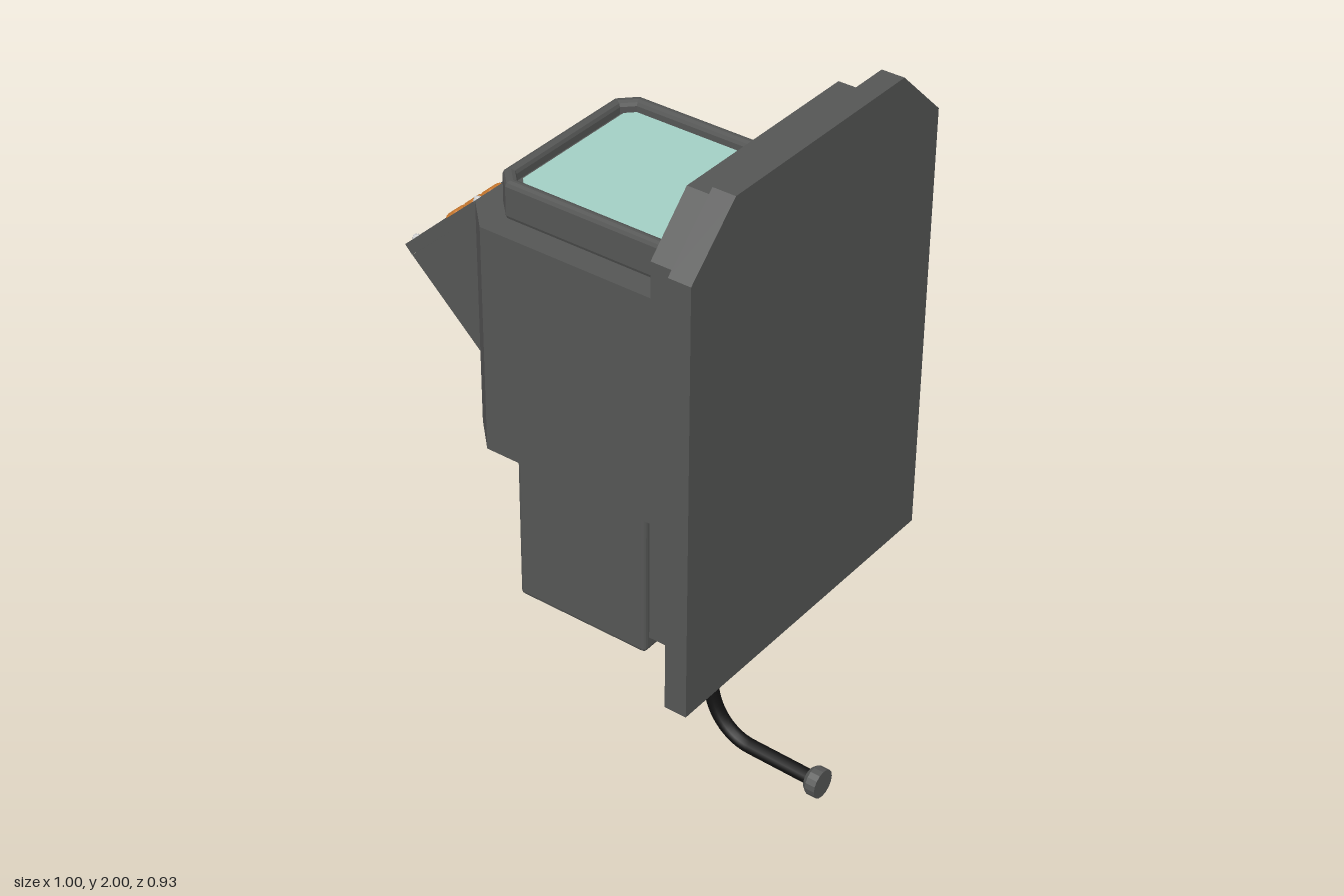
import * as THREE from 'three';
import { RoundedBoxGeometry } from 'three/addons/geometries/RoundedBoxGeometry.js';

const mat = (color) => new THREE.MeshStandardMaterial({ color, flatShading: true });

export function createModel() {
  const model = new THREE.Group();
  const body = mat(0x555655), teal = mat(0xa3cfc5), orange = mat(0xc8782e);
  const metal = mat(0xcccccc), rubber = new THREE.MeshStandardMaterial({ color: 0x111111 });

  const add = (name, geo, material, pos = [0, 0, 0], parent = model) => {
    const m = new THREE.Mesh(geo, material);
    m.name = name;
    m.position.set(...pos);
    parent.add(m);
    return m;
  };
  const poly = (pts) => new THREE.Shape(pts.map((p) => new THREE.Vector2(...p)));
  const extrude = (shape, depth, bevel = 0) => new THREE.ExtrudeGeometry(shape, {
    depth, bevelEnabled: bevel > 0, bevelSize: bevel, bevelThickness: bevel,
    bevelOffset: -bevel, bevelSegments: 2, curveSegments: 4,
  });
  const box = (w, h, d, r = 0) => (r ? new RoundedBoxGeometry(w, h, d, 2, r) : new THREE.BoxGeometry(w, h, d));
  // Octagonal washer with a hex head; its axis is local y
  const bolt = (pos, parent = model, size = 1) => {
    const g = new THREE.Group();
    g.name = 'bolt';
    g.position.set(...pos);
    g.scale.setScalar(size);
    add('boltWasher', new THREE.CylinderGeometry(0.018, 0.022, 0.01, 8), metal, [0, 0.004, 0], g);
    add('boltHead', new THREE.CylinderGeometry(0.01, 0.011, 0.008, 6), metal, [0, 0.012, 0], g);
    parent.add(g);
    return g;
  };

  // Mounting plates with chamfered top corners, stacked along x
  const plate = (name, x, depth, w, wTop, y0, yc, y1) => {
    const s = poly([[-w, y0], [w, y0], [w, yc], [wTop, y1], [-wTop, y1], [-w, yc]]);
    add(name, extrude(s, depth).rotateY(Math.PI / 2), body, [x, 0, 0]);
  };
  plate('backPlate', 0.44, 0.06, 0.465, 0.313, 0.695, 1.855, 2);
  plate('innerPlate', 0.35, 0.09, 0.405, 0.28, 0.815, 1.83, 1.955);

  // Light strips around the inner plate
  const strip = (len, y, z, turn) => {
    add('lightStrip', box(0.012, 0.025, len), teal, [0.348, y, z]).rotation.x = turn;
  };
  strip(0.5, 1.905, 0, 0);
  strip(0.62, 0.865, 0, 0);
  for (const s of [-1, 1]) {
    strip(0.8, 1.34, s * 0.36, Math.PI / 2);
    strip(0.1, 1.845, s * 0.322, s * Math.PI / 4);
  }

  // Main housing
  const housing = poly([[0.35, -0.31], [0.35, 0.31], [-0.2, 0.31], [-0.28, 0.23], [-0.28, -0.23], [-0.2, -0.31]]);
  add('mainHousing', extrude(housing, 0.61).rotateX(-Math.PI / 2), body, [0, 1.05, 0]);

  // Top screen and its bevelled bezel
  const clipped = (x0, x1, z, c) => [[x1, -z], [x1, z], [x0 + c, z], [x0, z - c], [x0, -z + c], [x0 + c, -z]];
  const bezel = poly(clipped(-0.218, 0.288, 0.247, 0.042));
  bezel.holes.push(poly(clipped(-0.19, 0.26, 0.217, 0.028)));
  add('screenBezel', extrude(bezel, 0.075, 0.012).rotateX(-Math.PI / 2), body, [0, 1.668, 0]);
  add('screen', extrude(poly(clipped(-0.176, 0.248, 0.206, 0.022)), 0.075).rotateX(-Math.PI / 2), teal, [0, 1.66, 0]);
  add('screenBase', extrude(poly(clipped(-0.2, 0.27, 0.23, 0.03)), 0.065).rotateX(-Math.PI / 2), body, [0, 1.66, 0]);

  // Slanted keypad: local x runs up the slope, local y is its normal
  const keypad = new THREE.Group();
  keypad.name = 'keypad';
  keypad.position.set(-0.5, 1.46, 0);
  keypad.rotation.z = 0.738;
  model.add(keypad);
  const frame = poly([[0, -0.23], [0.29, -0.23], [0.29, 0.23], [0, 0.23]]);
  const [l, r, h, c] = [0.03, 0.27, 0.2, 0.03];
  frame.holes.push(poly([[l + c, -h], [r - c, -h], [r, -h + c], [r, h - c], [r - c, h], [l + c, h], [l, h - c], [l, -h + c]]));
  add('keypadFrame', extrude(frame, 0.03).rotateX(-Math.PI / 2), body, [0, -0.03, 0], keypad);
  const wedge = poly([[-0.479, 1.438], [-0.28, 1.25], [-0.26, 1.25], [-0.26, 1.638]]);
  add('keypadWedge', extrude(wedge, 0.46), body, [0, 0, -0.23]);
  for (let i = 0; i < 3; i++) {
    const x = 0.087 + i * 0.073;
    for (let j = 0; j < 3; j++) {
      add('key', box(0.067, 0.022, 0.072), teal, [x, -0.02, -0.125 + j * 0.081], keypad);
    }
    add('orangeKey', box(0.05, 0.04, 0.05, 0.012), orange, [x, -0.014, 0.118], keypad);
  }
  for (const x of [0.018, 0.277]) for (const z of [-0.21, 0.205]) bolt([x, 0, z], keypad, 0.5);

  // Bolts on the top and on the rear side of the housing
  for (const x of [-0.16, -0.09]) bolt([x, 1.66, -0.28]);
  const rearBolts = [[-0.16, 1.1, -0.31], [-0.09, 1.1, -0.31], [0.315, 1.08, -0.31], [0.315, 1.21, -0.31],
    [-0.175, 0.965, -0.205], [-0.175, 0.905, -0.205]];
  for (const p of rearBolts) bolt(p, model, 0.85).rotation.x = -Math.PI / 2;

  // Lower box, overlapping slightly into the housing
  add('lowerBox', box(0.385, 0.52, 0.41, 0.012), body, [-0.0075, 0.81, 0]);

  // Raised cover with sloping edges on the rear side
  const cover = new THREE.BoxGeometry(0.26, 0.36, 0.025);
  const p = cover.attributes.position;
  for (let i = 0; i < p.count; i++) {
    if (p.getZ(i) < 0) p.setXY(i, p.getX(i) * 0.82, p.getY(i) * 0.87);
  }
  cover.computeVertexNormals();
  add('rearCover', cover, body, [-0.01, 0.815, -0.2165]);

  // Indicator panels beside an orange bar
  add('orangeBar', box(0.03, 0.43, 0.055), orange, [-0.2, 0.805, -0.145]);
  for (let i = 0; i < 4; i++) {
    add('indicatorPanel', box(0.02, 0.1, 0.285), teal, [-0.2, 0.64 + i * 0.11, 0.04]);
  }

  // Cable with gland and plug
  const profile = [[0, 0.47], [0.03, 0.47], [0.04, 0.485], [0.04, 0.56], [0, 0.56]].map((q) => new THREE.Vector2(...q));
  add('cableGland', new THREE.LatheGeometry(profile, 12), body, [0.128, 0, -0.15]);
  const v = (x, y) => new THREE.Vector3(x, y, -0.15);
  const path = new THREE.CurvePath();
  path.add(new THREE.LineCurve3(v(0.128, 0.5), v(0.128, 0.2)));
  path.add(new THREE.CubicBezierCurve3(v(0.128, 0.2), v(0.128, 0.12), v(0.18, 0.046), v(0.26, 0.046)));
  path.add(new THREE.LineCurve3(v(0.26, 0.046), v(0.45, 0.041)));
  add('cable', new THREE.TubeGeometry(path, 48, 0.02, 10), rubber);
  const plug = [[0, 0], [0.03, 0], [0.04, 0.012], [0.04, 0.04], [0, 0.04]].map((q) => new THREE.Vector2(...q));
  add('cablePlug', new THREE.LatheGeometry(plug, 16).rotateZ(-Math.PI / 2), body, [0.44, 0.04, -0.15]);

  return model;
}
